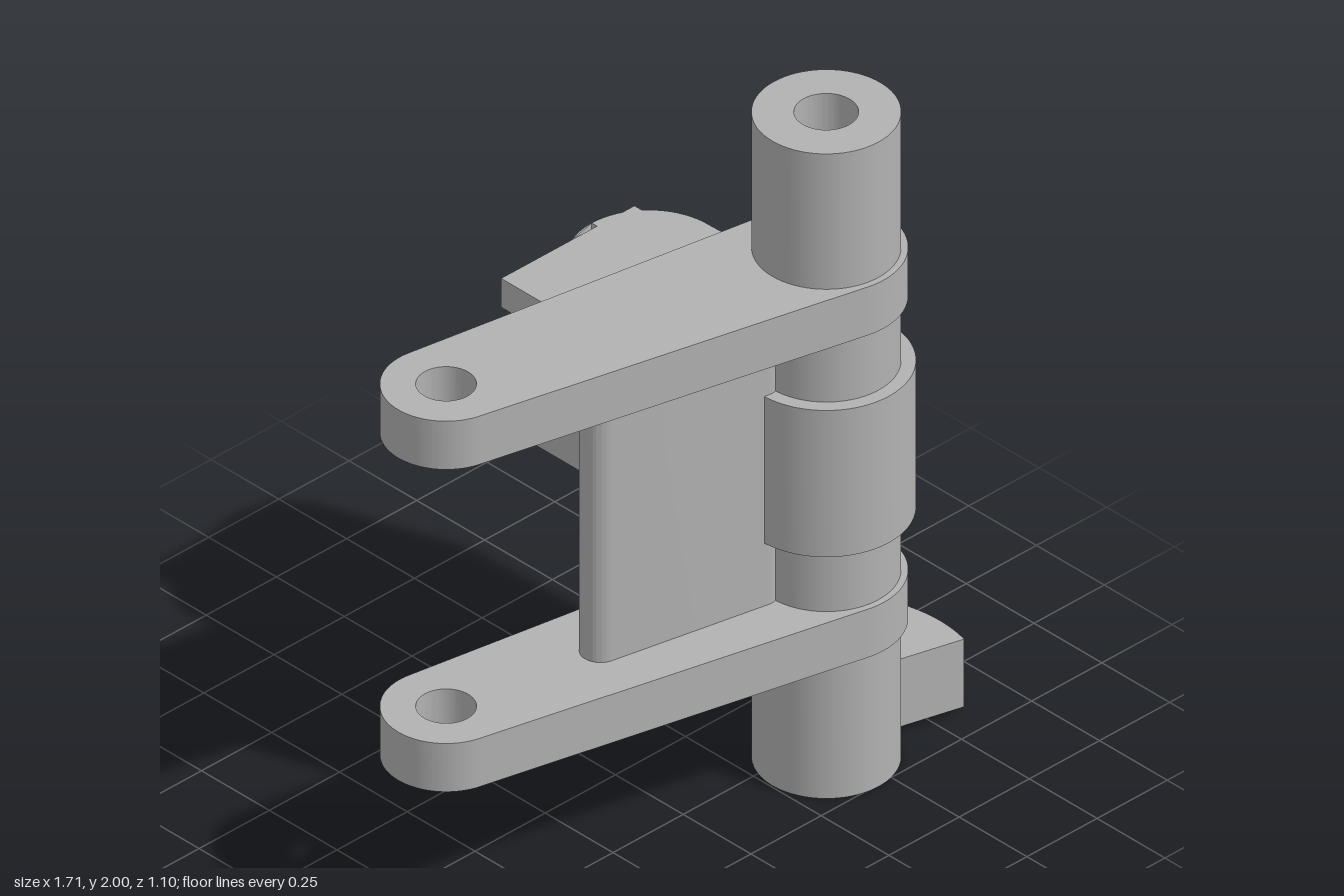
import * as THREE from 'three';
import { toCreasedNormals } from 'three/addons/utils/BufferGeometryUtils.js';

const grey = new THREE.MeshStandardMaterial({ color: 0xb2b2b2 });
grey.name = 'plain grey';

// Plan outlines are drawn as (x, -z) and extruded upwards.
const PIVOT = [0.447, -0.315];
const EYE = [-0.685, -0.085];

function extrude(shape, depth) {
  return new THREE.ExtrudeGeometry(shape, { depth, bevelEnabled: false, curveSegments: 36 });
}

function mesh(name, geometry) {
  const m = new THREE.Mesh(toCreasedNormals(geometry, 0.5), grey);
  m.name = name;
  return m;
}

function plate(name, shape, y0, y1) {
  return mesh(name, extrude(shape, y1 - y0).rotateX(-Math.PI / 2).translate(0, y0, 0));
}

function polygon(points) {
  return new THREE.Shape(points.map(([x, y]) => new THREE.Vector2(x, y)));
}

function drill(shape, [x, y], r) {
  const hole = new THREE.Path();
  hole.absarc(x, y, r, 0, Math.PI * 2, true);
  shape.holes.push(hole);
  return shape;
}

// Outline of a belt around two circles
function link([x1, y1], r1, [x2, y2], r2) {
  const t = Math.atan2(y2 - y1, x2 - x1);
  const phi = Math.acos((r1 - r2) / Math.hypot(x2 - x1, y2 - y1));
  const s = new THREE.Shape();
  s.absarc(x2, y2, r2, t - phi, t + phi, false);
  s.absarc(x1, y1, r1, t + phi, t - phi + Math.PI * 2, false);
  s.closePath();
  return s;
}

export function createModel() {
  const model = new THREE.Group();
  model.name = 'hingeBracket';

  // Hollow upright shaft
  const ring = new THREE.Shape();
  ring.absarc(...PIVOT, 0.192, 0, Math.PI * 2, false);
  model.add(plate('shaft', drill(ring, PIVOT, 0.083), 0, 2));

  // Two tapered arms with an eye at the far end
  for (const [name, y] of [['lowerArm', 0.43], ['upperArm', 1.43]]) {
    const arm = link(EYE, 0.17, PIVOT, 0.21);
    drill(drill(arm, EYE, 0.078), PIVOT, 0.15);
    model.add(plate(name, arm, y, y + 0.15));
  }

  // Web between the arms, stopping inside the shaft wall
  model.add(plate('web', link([-0.225, -0.178], 0.055, [0.24, -0.273], 0.055), 0.58, 1.43));

  // Radial key at the foot of the shaft
  const key = new THREE.Shape();
  const half = 0.262;
  key.absarc(...PIVOT, 0.404, -half, half, false);
  key.absarc(...PIVOT, 0.17, half, -half, true);
  key.closePath();
  model.add(plate('key', key, 0.02, 0.23));

  // Clevis block turning on the shaft
  const block = new THREE.Group();
  block.name = 'clevisBlock';
  const [low, high] = [0.775, 1.23];
  const [slotLow, slotHigh] = [0.953, 1.053];
  const mid = (low + high) / 2;
  const pocket = 0.138;
  const px = PIVOT[0];

  // Hub end
  const hub = new THREE.Shape();
  hub.moveTo(0.23, 0.11);
  hub.lineTo(0.217, PIVOT[1]);
  hub.absarc(...PIVOT, 0.23, Math.PI, Math.PI * 2, false);
  hub.lineTo(0.665, 0.11);
  hub.closePath();
  block.add(plate('hub', drill(hub, PIVOT, 0.15), low, high));

  // Fork halves above and below the slot
  const fork = new THREE.Shape();
  fork.moveTo(px, 0.11);
  fork.lineTo(0.665, 0.11);
  fork.absarc(px, 0.34, 0.21, 0, Math.acos(0.133 / 0.21), false);
  fork.lineTo(0.58, 0.53);
  fork.absarc(px, 0.34, 0.21, Math.asin(0.19 / 0.21), Math.PI / 2, false);
  fork.closePath();
  block.add(plate('lowerFork', fork, low, slotLow));
  block.add(plate('upperFork', fork, slotHigh, high));

  // Slanted end wall of the slot
  const slotEnd = polygon([[px, 0.11], [0.665, 0.11], [0.662, 0.193], [px, 0.275]]);
  block.add(plate('slotEnd', slotEnd, slotLow, slotHigh));

  // Side housing with a U-shaped pocket open to the back, drawn as (-z, y)
  const housing = new THREE.Shape();
  housing.moveTo(0.11, low);
  housing.lineTo(0.53, low);
  housing.lineTo(0.53, mid - pocket);
  housing.lineTo(0.333, mid - pocket);
  housing.absarc(0.333, mid, pocket, -Math.PI / 2, -Math.PI * 1.5, true);
  housing.lineTo(0.53, mid + pocket);
  housing.lineTo(0.53, high);
  housing.lineTo(0.11, high);
  housing.closePath();
  block.add(mesh('housing', extrude(housing, px - 0.105).rotateY(Math.PI / 2).translate(0.105, 0, 0)));

  // Slight bulge of the fork's round end past the housing
  const bulge = new THREE.Shape();
  bulge.moveTo(px, 0.53);
  bulge.absarc(px, 0.34, 0.21, Math.PI / 2, Math.PI - Math.asin(0.19 / 0.21), false);
  bulge.closePath();
  block.add(plate('lowerBulge', bulge, low, mid - pocket));
  block.add(plate('upperBulge', bulge, mid + pocket, high));

  model.add(block);
  return model;
}
